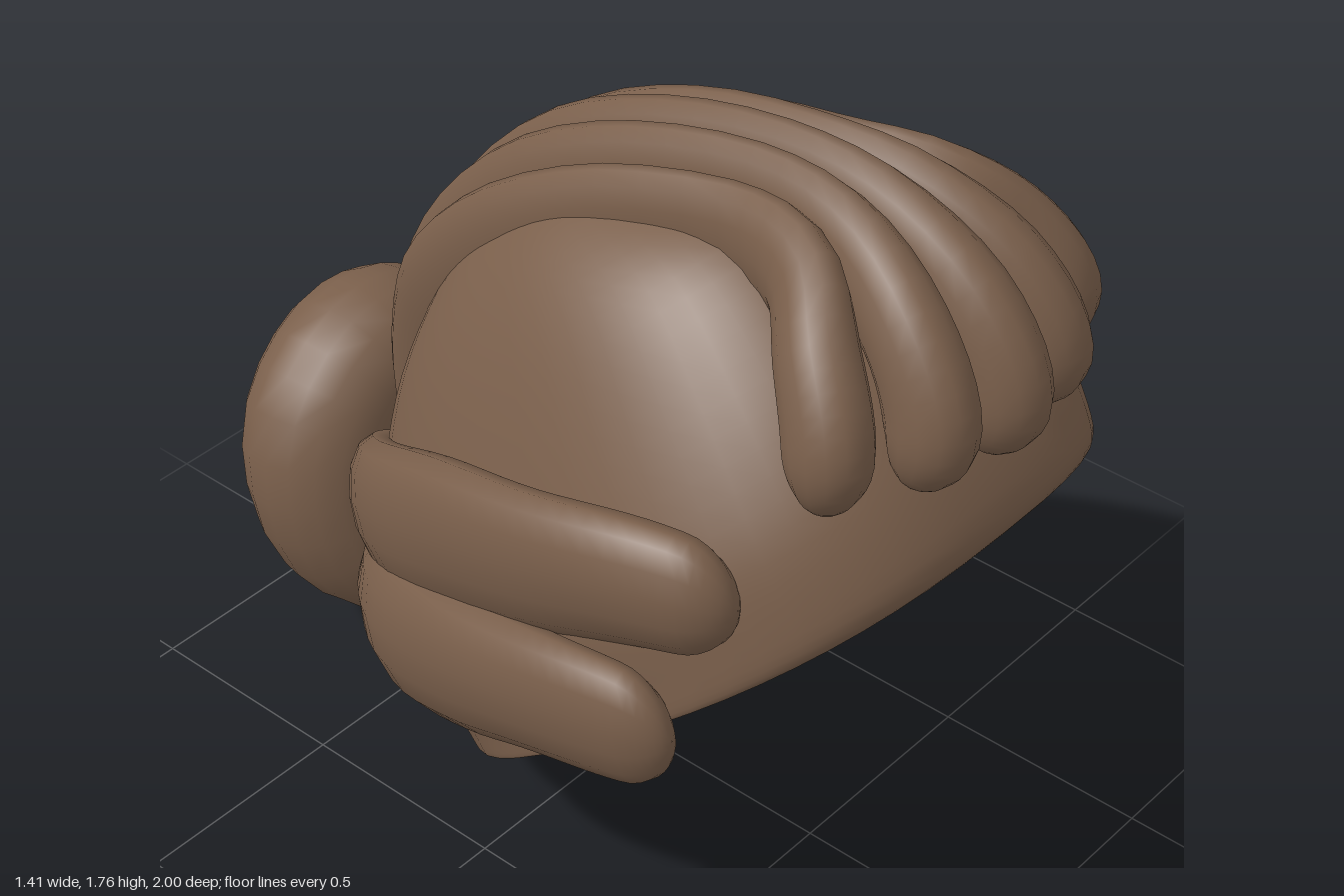
import * as THREE from 'three';

const hair = new THREE.MeshStandardMaterial({ color: 0x7a5f4b, side: THREE.DoubleSide });
hair.name = 'brown hair';

// Skin a list of closed loops (arrays of Vector3) with smooth normals
function skin(name, loops) {
  const m = loops[0].length, pos = [], idx = [];
  loops.forEach(l => l.forEach(p => pos.push(p.x, p.y, p.z)));
  for (let i = 0; i < loops.length - 1; i++) {
    for (let j = 0; j < m; j++) {
      const a = i * m + j, b = i * m + (j + 1) % m;
      idx.push(a, b, a + m, b, b + m, a + m);
    }
  }
  const g = new THREE.BufferGeometry();
  g.setAttribute('position', new THREE.Float32BufferAttribute(pos, 3));
  g.setIndex(idx);
  g.computeVertexNormals();
  const mesh = new THREE.Mesh(g, hair);
  mesh.name = name;
  return mesh;
}

// Rounded lock of hair; each point is [x, y, z, halfWidth, halfDepth]
function lock(name, pts, outward, steps = 40, sides = 14) {
  const path = new THREE.CatmullRomCurve3(pts.map(p => new THREE.Vector3(p[0], p[1], p[2])));
  const size = new THREE.CatmullRomCurve3(pts.map(p => new THREE.Vector3(p[3], p[4], 0)), false, 'catmullrom');
  const loops = [];
  for (let i = 0; i <= steps; i++) {
    const t = (1 - Math.cos(Math.PI * i / steps)) / 2;
    const p = path.getPoint(t), s = size.getPoint(t), tan = path.getTangent(t);
    const out = outward(p);
    out.addScaledVector(tan, -out.dot(tan)).normalize();
    const side = new THREE.Vector3().crossVectors(tan, out);
    const e = Math.max(0, 1 - Math.min(t, 1 - t) / 0.09);
    const round = Math.sqrt(Math.max(0.0001, 1 - e * e));
    const loop = [];
    for (let j = 0; j < sides; j++) {
      const a = j / sides * Math.PI * 2;
      loop.push(p.clone()
        .addScaledVector(side, Math.cos(a) * s.x * round)
        .addScaledVector(out, Math.sin(a) * s.y * round));
    }
    loops.push(loop);
  }
  return skin(name, loops);
}

// Dome set on a tilted opening; rings are [height, back, front, halfWidth]
function cap() {
  const rings = [
    [0.03, -0.71, 0.69, 0.59], [0.0, -0.74, 0.74, 0.61],
    [0.06, -0.76, 0.80, 0.61], [0.25, -0.78, 0.83, 0.605], [0.5, -0.75, 0.80, 0.53],
    [0.74, -0.54, 0.69, 0.42], [0.9, -0.28, 0.46, 0.3], [0.98, -0.1, 0.27, 0.17],
    [1.01, 0.05, 0.051, 0.001],
  ];
  const loops = [], steps = 40, sides = 48, n = rings.length - 1;
  for (let i = 0; i <= steps; i++) {
    const k = i / steps * n, r0 = Math.min(n - 1, Math.floor(k)), f = k - r0;
    // Smooth between neighbouring rings
    const [h, u0, u1, w] = [0, 1, 2, 3].map(c => {
      const v = q => rings[Math.max(0, Math.min(n, q))][c];
      const a = v(r0 - 1), b = v(r0), d = v(r0 + 1), e = v(r0 + 2);
      const m0 = (d - a) / 2, m1 = (e - b) / 2;
      return THREE.MathUtils.lerp(b, d, f * f * (3 - 2 * f)) + f * (1 - f) * ((1 - f) * m0 - f * m1);
    });
    const loop = [];
    for (let j = 0; j < sides; j++) {
      const a = j / sides * Math.PI * 2, c = Math.cos(a), s = Math.sin(a);
      const pw = c > 0 ? 0.77 : 0.88;
      const u = (u0 + u1) / 2 + (u1 - u0) / 2 * Math.sign(c) * Math.abs(c) ** pw;
      const x = w * Math.sign(s) * Math.abs(s) ** pw;
      loop.push(new THREE.Vector3(x, 0.575 + 0.643 * u + 0.765 * h, 0.365 + 0.765 * u - 0.643 * h));
    }
    loops.push(loop);
  }
  return skin('hairCap', loops);
}

export function createModel() {
  const group = new THREE.Group();
  group.name = 'hairWithBun';
  group.add(cap());

  // Five strands over the crown: [spread, y, z, halfWidth, halfDepth, setback, drop]
  const crown = [
    [0.18, 1.23, 0.87, 0.08, 0.08, 0.025, 0], [0.172, 1.38, 0.9, 0.083, 0.1, 0.035, 0],
    [0.147, 1.53, 0.81, 0.078, 0.1, 0.03, 0.008], [0.103, 1.62, 0.62, 0.063, 0.11, 0.01, 0.01],
    [0.077, 1.63, 0.4, 0.052, 0.115, 0, 0.015], [0.083, 1.565, 0.1, 0.056, 0.115, 0, 0.018],
    [0.092, 1.425, -0.17, 0.06, 0.12, 0, 0.022], [0.09, 1.19, -0.39, 0.06, 0.12, -0.01, 0.012],
    [0.072, 0.92, -0.52, 0.058, 0.12, -0.02, 0], [0.055, 0.68, -0.555, 0.055, 0.11, -0.02, 0],
    [0.035, 0.44, -0.54, 0.045, 0.09, -0.014, 0],
  ];
  for (let k = -2; k <= 2; k++) {
    const q = k * k;
    const pts = crown.map(c => [c[0] * k, c[1] - c[6] * q, c[2] - c[5] * q, c[3], c[4]]);
    group.add(lock('crownStrand', pts, p => new THREE.Vector3(p.x * 0.5, p.y - 0.6, p.z - 0.1), 50));
  }

  // Two swept-back locks on each side
  const upper = [
    [0.53, 1.07, 0.71, 0.12, 0.07], [0.57, 1.05, 0.5, 0.145, 0.08], [0.575, 0.97, 0.25, 0.165, 0.08],
    [0.535, 0.875, 0, 0.175, 0.085], [0.46, 0.75, -0.25, 0.165, 0.08], [0.32, 0.63, -0.43, 0.14, 0.075],
    [0.13, 0.53, -0.52, 0.1, 0.06],
  ];
  const lower = [
    [0.62, 0.76, 0.63, 0.13, 0.06], [0.635, 0.73, 0.42, 0.15, 0.07], [0.61, 0.67, 0.22, 0.16, 0.085],
    [0.55, 0.58, 0, 0.18, 0.1], [0.45, 0.49, -0.22, 0.19, 0.115], [0.31, 0.44, -0.38, 0.15, 0.11],
    [0.18, 0.43, -0.47, 0.11, 0.08],
  ];
  for (const side of [1, -1]) {
    for (const [name, pts] of [['upperSideLock', upper], ['lowerSideLock', lower]]) {
      const mirrored = pts.map(p => [p[0] * side, ...p.slice(1)]);
      group.add(lock(name, mirrored, p => new THREE.Vector3(p.x, 0, p.z * 0.5)));
    }
  }

  // Knotted bun at the nape: one thick coil with overlapping ends and a tucked tip
  const coil = [
    [0.17, 0.38, -0.84, 0.12, 0.12], [0.17, 0.54, -0.835, 0.14, 0.155], [0.1, 0.64, -0.825, 0.165, 0.175],
    [-0.03, 0.66, -0.82, 0.17, 0.18], [-0.16, 0.54, -0.81, 0.17, 0.18], [-0.16, 0.31, -0.77, 0.17, 0.18],
    [-0.02, 0.19, -0.72, 0.185, 0.19], [0.17, 0.19, -0.7, 0.19, 0.2], [0.265, 0.32, -0.69, 0.185, 0.2],
    [0.2, 0.48, -0.68, 0.16, 0.17],
  ];
  group.add(lock('bunCoil', coil, () => new THREE.Vector3(0, 0, -1), 48, 18));
  const tip = new THREE.Mesh(new THREE.SphereGeometry(0.15, 16, 12), hair);
  tip.name = 'bunTip';
  tip.position.set(0.03, 0.28, -0.82);
  group.add(tip);
  return group;
}
